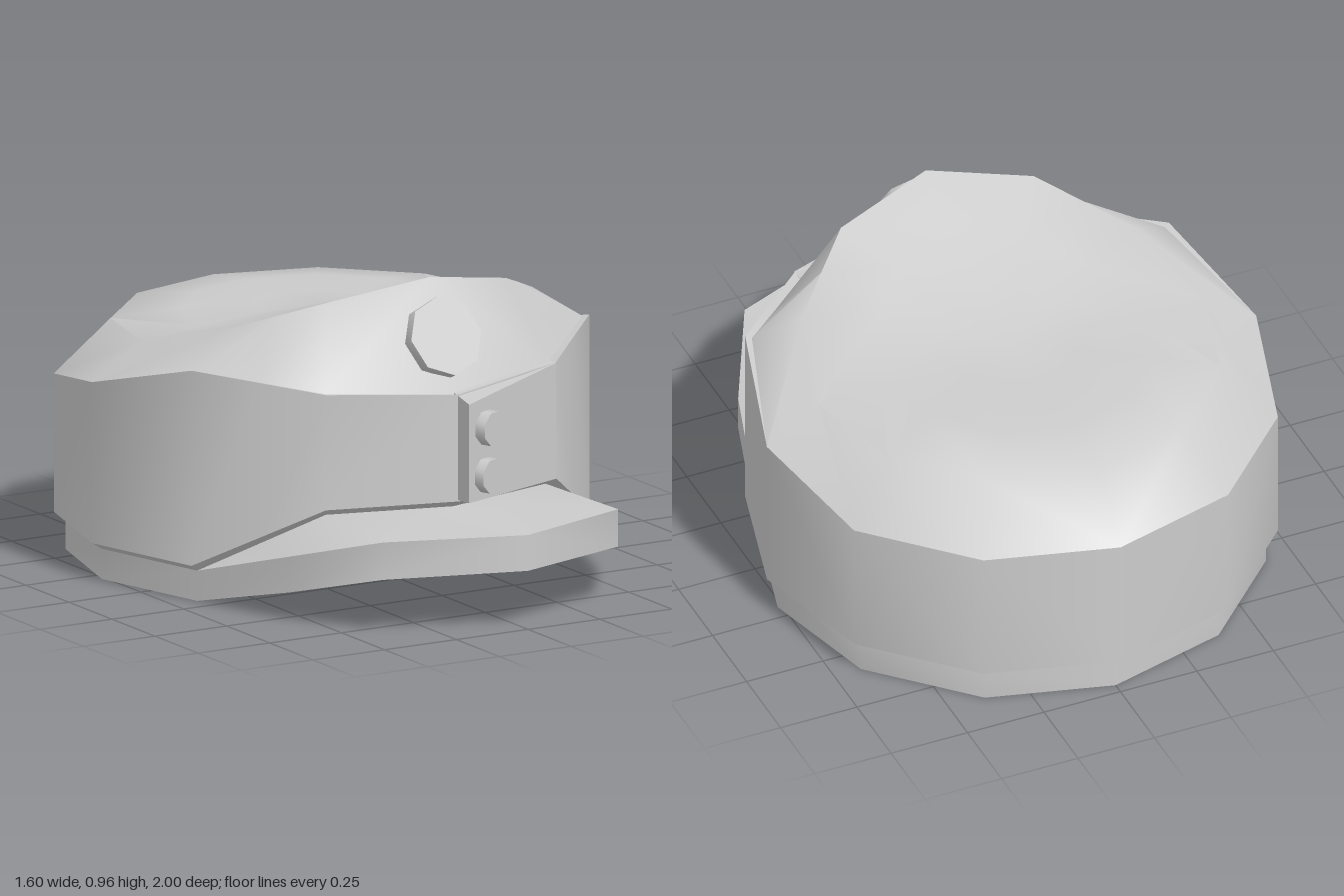
import * as THREE from 'three';
import { toCreasedNormals } from 'three/addons/utils/BufferGeometryUtils.js';

const material = new THREE.MeshStandardMaterial({ color: 0xcccccc });
const CENTRE_Z = -0.2;

// Half outline from front to back: 12-gon corners plus one mid-edge point for the visor
const directions = [0, 30, 45, 60, 90, 120, 150, 180].map((deg) => {
  const a = THREE.MathUtils.degToRad(deg);
  const r = deg === 45 ? Math.cos(Math.PI / 12) : 1;
  return [Math.sin(a) * r, Math.cos(a) * r];
});

// Mirror a half outline into a closed ring
function mirrorRing(half) {
  const back = half.slice(1, -1).reverse().map(([x, y, z]) => [-x, y, z]);
  return [...half, ...back].map((p) => new THREE.Vector3(...p));
}

const halfRing = (radius, heights) => directions.map(([x, z], i) => {
  const r = Array.isArray(radius) ? radius[i] : radius;
  return [x * r, heights[i], CENTRE_Z + z * r];
});

const pointRing = (y, z) => directions.map(() => [0, y, z]);

// Skin a list of rings, from the top down, with mirrored diagonals
function loft(name, halves, crease) {
  const rings = halves.map(mirrorRing);
  const positions = [];
  const triangle = new THREE.Triangle();
  const add = (a, b, c) => {
    if (triangle.set(a, b, c).getArea() < 1e-6) return;
    for (const p of [a, b, c]) positions.push(p.x, p.y, p.z);
  };
  for (let r = 0; r < rings.length - 1; r++) {
    const up = rings[r], low = rings[r + 1];
    for (let i = 0; i < up.length; i++) {
      const j = (i + 1) % up.length;
      if (i < up.length / 2) {
        add(up[i], low[i], low[j]);
        add(up[i], low[j], up[j]);
      } else {
        add(up[i], low[i], up[j]);
        add(up[j], low[i], low[j]);
      }
    }
  }
  const geometry = new THREE.BufferGeometry();
  geometry.setAttribute('position', new THREE.Float32BufferAttribute(positions, 3));
  const mesh = new THREE.Mesh(toCreasedNormals(geometry, crease), material);
  mesh.name = name;
  return mesh;
}

// Short eight-sided disc facing along a normal
function disc(name, radius, depth, position, normal) {
  const geometry = new THREE.CylinderGeometry(radius, radius, depth, 8);
  const mesh = new THREE.Mesh(toCreasedNormals(geometry, 0.9), material);
  mesh.name = name;
  mesh.position.set(...position);
  mesh.quaternion.setFromUnitVectors(
    new THREE.Vector3(0, 1, 0), new THREE.Vector3(...normal).normalize());
  return mesh;
}

export function createModel() {
  const model = new THREE.Group();
  model.name = 'peakedCap';

  const bandTop = [0.638, 0.664, 0.69, 0.715, 0.61, 0.54, 0.54, 0.54];
  const bandBottom = [0.31, 0.31, 0.2125, 0.115, 0.115, 0.115, 0.115, 0.115];
  const crownRim = [0.965, 0.905, 0.853, 0.8, 0.715, 0.71, 0.71, 0.71];
  const rimMiddle = [0.89, 0.85, 0.815, 0.78, 0.735, 0.74, 0.74, 0.74];
  const rimInner = [0.81, 0.8, 0.79, 0.775, 0.75, 0.745, 0.745, 0.745];

  // Crown: dished top, sloping wall, narrow ledge at the front
  const ledge = [0.77, 0.77, 0.775, 0.78, 0.8, 0.8, 0.8, 0.8];
  const ledgeHeights = bandTop.map((y, i) => y - (i < 4 ? 0.005 : 0));
  model.add(loft('crown', [
    pointRing(0.755, CENTRE_Z), halfRing(0.21, rimInner), halfRing(0.42, rimMiddle),
    halfRing(0.63, crownRim), halfRing(ledge, ledgeHeights), halfRing(0.8, bandTop),
  ], 0.7));

  // Tall band, turned in underneath
  const base = halfRing(0.765, bandBottom.map((y) => y - 0.022));
  model.add(loft('band', [halfRing(0.8, bandTop), halfRing(0.8, bandBottom), base], 0.62));

  // Visor and head rim share one closed shell with a shallow hollow underneath
  const visorTop = [[0, 0.29, 1], [0.41, 0.285, 0.84], [0.56, 0.2, 0.55], ...base.slice(3)];
  const visorHeights = [0.18, 0.17, 0.09, 0, 0, 0, 0, 0];
  const hollowHeights = [0.13, 0.125, 0.1, 0.08, 0.065, 0.055, 0.05, 0.05];
  const hollowZ = -0.11;
  const visorBottom = visorTop.map(([x, , z], i) => [x, visorHeights[i], z]);
  const hollow = visorTop.map(([x, , z], i) => [x / 2, hollowHeights[i], (z + hollowZ) / 2]);
  model.add(loft('visorAndHeadRim', [
    base, visorTop, visorBottom, hollow, pointRing(0.065, hollowZ),
  ], 0.85));

  // Overlapping flap: a box squeezed into a wedge that meets the band
  const flapGeometry = new THREE.BoxGeometry(2, 2, 2);
  const p = flapGeometry.attributes.position;
  for (let i = 0; i < p.count; i++) {
    const outer = p.getZ(i) > 0, top = p.getY(i) > 0;
    if (p.getX(i) < 0) {
      if (outer) p.setXYZ(i, -0.012, top ? 0.625 : 0.322, 0.678);
      else p.setXYZ(i, 0, top ? 0.638 : 0.312, 0.57);
    } else p.setXYZ(i, 0.4, top ? 0.664 : 0.308, outer ? 0.496 : 0.46);
  }
  const flap = new THREE.Mesh(toCreasedNormals(flapGeometry, 0.5), material);
  flap.name = 'frontFlap';
  model.add(flap);

  // Flap buttons and crown badge
  const flapNormal = [0.38, 0, 0.92];
  model.add(disc('upperButton', 0.054, 0.06, [0.067, 0.54, 0.65], flapNormal));
  model.add(disc('lowerButton', 0.054, 0.06, [0.062, 0.395, 0.65], flapNormal));
  model.add(disc('crownBadge', 0.122, 0.04, [0, 0.795, 0.507], [0, 0.42, 0.9]));
  return model;
}
